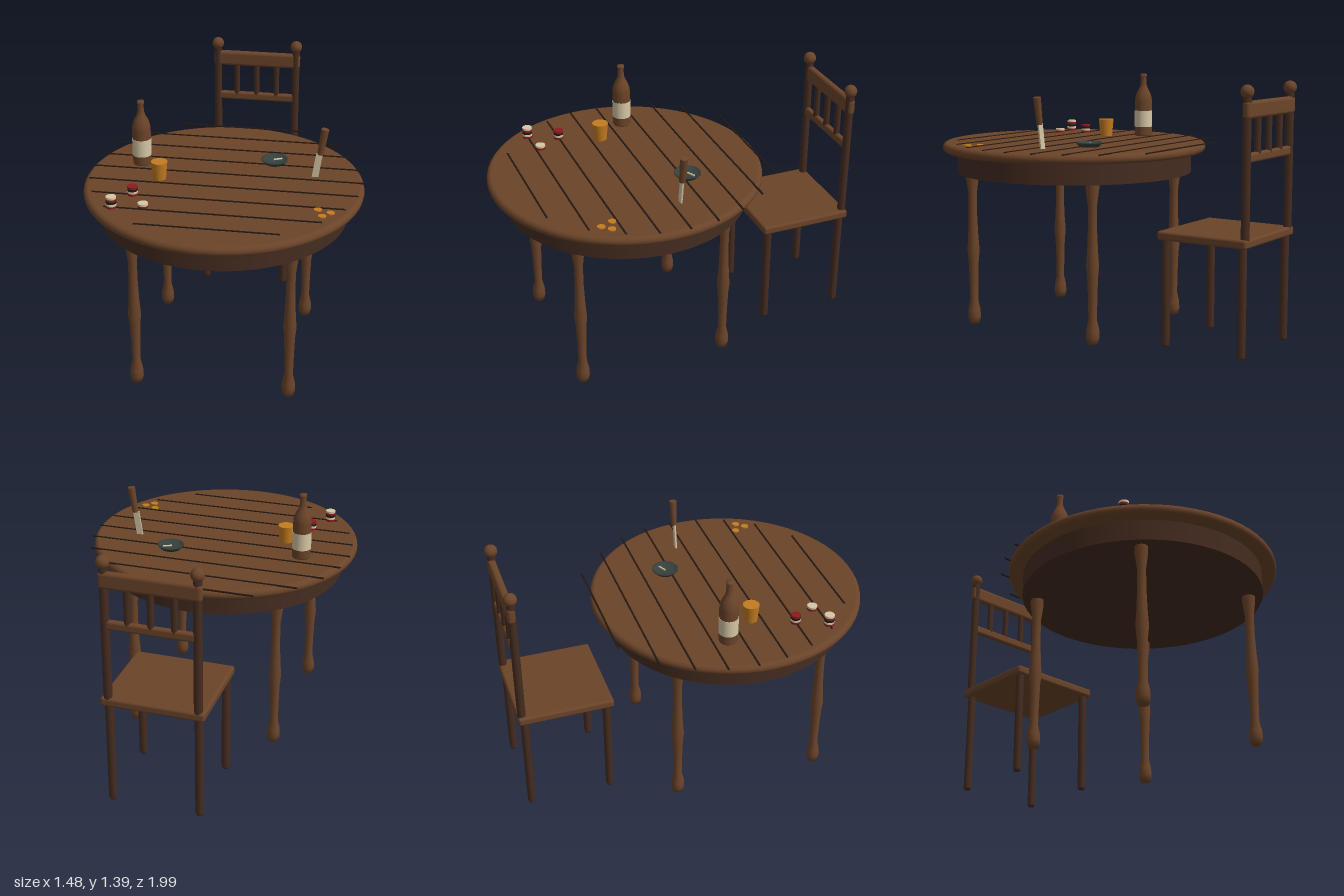
import * as THREE from 'three';
import { RoundedBoxGeometry } from 'three/addons/geometries/RoundedBoxGeometry.js';

const mat = (name, color) => {
  const m = new THREE.MeshStandardMaterial({ color });
  m.name = name;
  return m;
};

export function createModel() {
  const wood = mat('warm wood', 0x6b4429);
  const darkWood = mat('dark wood', 0x452c20);
  const seam = mat('plank seam', 0x241812);
  const cream = mat('cream', 0xd6c8a6);
  const amber = mat('amber', 0xc47c20);
  const pewter = mat('pewter', 0x37413d);
  const red = mat('chip red', 0x8b1c1c);
  const black = mat('chip black', 0x1c1a1a);

  const root = new THREE.Group();
  root.name = 'tableAndChair';
  const group = (name, x, y, z, parent = root) => {
    const g = new THREE.Group();
    g.name = name;
    g.position.set(x, y, z);
    parent.add(g);
    return g;
  };
  const add = (parent, name, geo, material, x = 0, y = 0, z = 0) => {
    const m = new THREE.Mesh(geo, material);
    m.name = name;
    m.position.set(x, y, z);
    parent.add(m);
    return m;
  };
  const lathe = (pts, sides) =>
    new THREE.LatheGeometry(pts.map(([r, y]) => new THREE.Vector2(r, y)), sides);

  // Round table
  const table = group('table', 0, 0, 0.257);
  const edge = [[0, 0.975]];
  for (let i = 0; i <= 8; i++) {
    const a = -Math.PI / 2 + (i / 8) * Math.PI;
    edge.push([0.711 + 0.027 * Math.cos(a), 1.002 + 0.027 * Math.sin(a)]);
  }
  edge.push([0, 1.029]);
  add(table, 'tabletop', lathe(edge, 64), wood);
  add(table, 'apron', new THREE.CylinderGeometry(0.658, 0.658, 0.12, 64), darkWood, 0, 0.92, 0);

  // Turned table legs
  const legShape = lathe([
    [0, 0], [0.028, 0], [0.037, 0.035], [0.035, 0.075], [0.023, 0.13], [0.025, 0.25],
    [0.029, 0.36], [0.035, 0.42], [0.029, 0.5], [0.024, 0.62], [0.024, 0.74], [0.036, 0.83], [0.036, 0.87],
  ], 12);
  for (const x of [-0.41, 0.41])
    for (const z of [-0.41, 0.41]) add(table, 'tableLeg', legShape, wood, x, 0, z);

  // Plank seams, cut to a circle
  for (let i = -4; i <= 4; i++) {
    const d = i * 0.1575;
    const length = 2 * Math.sqrt(0.728 ** 2 - d * d);
    add(root, 'plankSeam', new THREE.BoxGeometry(length, 0.006, 0.009), seam, 0, 1.03, 0.175 + d);
  }

  // Chair
  const chair = group('chair', 0, 0, 0);
  add(chair, 'seat', new RoundedBoxGeometry(0.548, 0.048, 0.522, 3, 0.014), wood, 0, 0.595, -0.724);
  const post = (h) => lathe([[0, 0], [0.017, 0], [0.0225, 0.012], [0.0225, h], [0, h]], 10);
  const legGeo = post(0.58), backGeo = post(0.74);
  const knob = new THREE.SphereGeometry(0.035, 20, 14);
  for (const x of [-0.237, 0.237]) {
    add(chair, 'frontLeg', legGeo, darkWood, x, 0, -0.5);
    add(chair, 'backLeg', legGeo, darkWood, x, 0, -0.95);
    add(chair, 'backPost', backGeo, darkWood, x, 0.6, -0.962);
    add(chair, 'postKnob', knob, wood, x, 1.356, -0.962);
  }
  add(chair, 'topRail', new RoundedBoxGeometry(0.524, 0.09, 0.042, 4, 0.018), wood, 0, 1.265, -0.965);
  add(chair, 'lowerRail', new RoundedBoxGeometry(0.47, 0.05, 0.034, 4, 0.014), wood, 0, 1.026, -0.962);
  for (const x of [-0.12, 0, 0.12])
    add(chair, 'backSpindle', new THREE.CylinderGeometry(0.0175, 0.0175, 0.2, 10), darkWood, x, 1.135, -0.962);

  const top = 1.029;

  // Bottle with a blank label
  const bottle = group('bottle', -0.475, top, 0.1);
  add(bottle, 'bottleGlass', lathe([
    [0, 0], [0.047, 0], [0.05, 0.005], [0.05, 0.2], [0.047, 0.228], [0.037, 0.255],
    [0.024, 0.28], [0.018, 0.3], [0.0155, 0.343], [0.019, 0.345], [0.019, 0.361], [0, 0.361],
  ], 20), wood);
  add(bottle, 'bottleLabel', new THREE.CylinderGeometry(0.0515, 0.0515, 0.095, 20), cream, 0, 0.1, 0);

  // Tumbler
  add(root, 'tumbler', new THREE.CylinderGeometry(0.044, 0.035, 0.097, 16), amber, -0.343, top + 0.0485, 0.275);

  // Chip stacks
  const chipGeo = new THREE.CylinderGeometry(0.027, 0.027, 0.0115, 14);
  for (const [x, z, count] of [[-0.512, 0.648, 5], [-0.438, 0.49, 4], [-0.355, 0.62, 2]]) {
    const stack = group('chipStack', x, top, z);
    for (let i = 0; i < count; i++)
      add(stack, 'chip', chipGeo, [red, cream, black][i % 3], 0, 0.006 + i * 0.0127, 0);
  }

  // Coins
  const coinGeo = new THREE.CylinderGeometry(0.021, 0.021, 0.006, 12);
  for (const [x, z] of [[0.52, 0.515], [0.587, 0.54], [0.548, 0.582]])
    add(root, 'coin', coinGeo, amber, x, top + 0.003, z);

  // Shallow dish with a stub
  const dish = group('dish', 0.234, top, -0.01);
  add(dish, 'dishBowl', lathe([
    [0, 0], [0.052, 0], [0.072, 0.02], [0.072, 0.026], [0.062, 0.026], [0.05, 0.01], [0, 0.01],
  ], 24), pewter);
  const stub = add(dish, 'stub', new THREE.CylinderGeometry(0.005, 0.005, 0.048, 8), cream, 0.016, 0.018, -0.013);
  stub.rotation.set(0, 0.45, Math.PI / 2);

  // Knife standing in the tabletop
  const knife = group('knife', 0.467, top - 0.004, 0.127);
  knife.rotation.z = -0.15;
  add(knife, 'blade', new THREE.BoxGeometry(0.035, 0.14, 0.009), cream, 0, 0.07, 0);
  add(knife, 'knifeHandle', new THREE.CylinderGeometry(0.021, 0.016, 0.146, 12), wood, 0.004, 0.21, 0);

  return root;
}
